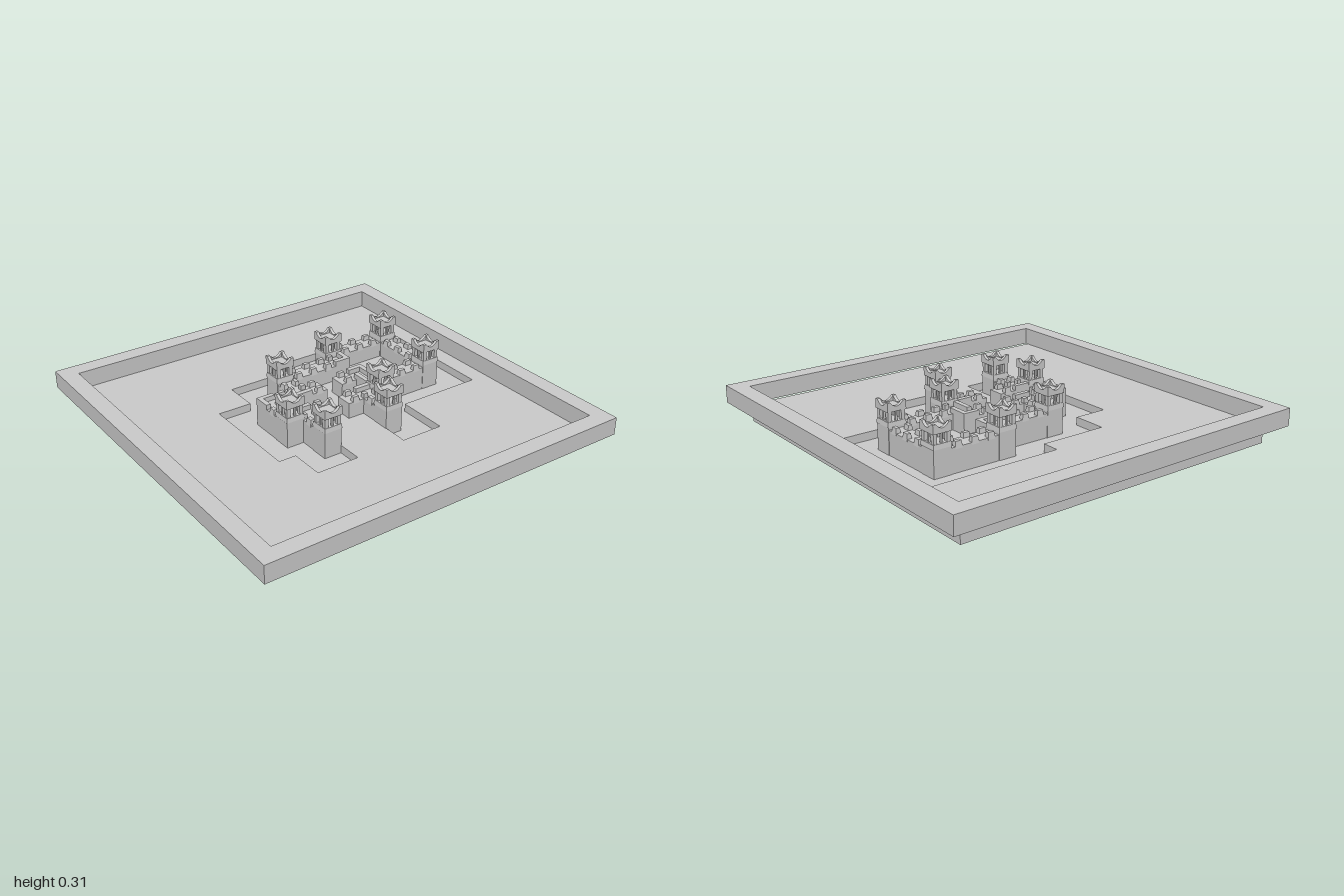
import * as THREE from 'three';

const C = 1 / 11; // plan grid cell
const PIT = 0.05, GROUND = 0.092, RIM = 0.185, WALK = 0.175, MERLON = 0.2;
const mat = new THREE.MeshStandardMaterial({ color: 0xcccccc, flatShading: true });

function add(parent, name, geometry) {
  const m = new THREE.Mesh(geometry, mat);
  m.name = name;
  parent.add(m);
  return m;
}

// box spanning y0..y1, optionally narrowed at the top by `taper`
function block(parent, name, x, z, w, d, y0, y1, taper = 0) {
  const g = new THREE.BoxGeometry(w, y1 - y0, d);
  const p = g.attributes.position;
  for (let i = 0; i < p.count; i++) {
    if (p.getY(i) > 0) {
      p.setX(i, p.getX(i) - Math.sign(p.getX(i)) * taper);
      p.setZ(i, p.getZ(i) - Math.sign(p.getZ(i)) * taper);
    }
  }
  g.computeVertexNormals();
  const m = add(parent, name, g);
  m.position.set(x, (y0 + y1) / 2, z);
  return m;
}

const toPoints = (list) => list.map(([x, z]) => new THREE.Vector2(x, -z));

// plan shape extruded upward from y0 to y1
function slab(parent, name, outline, hole, y0, y1) {
  const s = new THREE.Shape(toPoints(outline));
  s.holes.push(new THREE.Path(toPoints(hole)));
  const g = new THREE.ExtrudeGeometry(s, { depth: y1 - y0, bevelEnabled: false });
  g.rotateX(-Math.PI / 2);
  add(parent, name, g).position.y = y0;
}

// counter-clockwise seen from above, so that hole walls face inward
const rect = (x, z0, z1) => [[-x, z1], [x, z1], [x, z0], [-x, z0]];

// towers and wall runs, in grid cells
const towers = [[-1, -3], [3, -4], [7, -4], [7, 0], [3, 1], [-3, 1], [-2, 3], [2, 3]];
const runs = [
  [-1, -3, 3, -3], [3, -4, 3, -3], [3, -4, 7, -4], [7, -4, 7, 0], [3, 0, 7, 0],
  [3, -1, 3, 1], [2, -1, 3, -1], [1, 1, 3, 1], [2, 1, 2, 3],
  [-1, -3, -1, -1], [-3, -1, 0, -1], [-3, -1, -3, 1], [-3, 1, -1, 1], [-2, 1, -2, 3],
];

// moat outline: outer bank, then back beneath the walls
const moat = [
  [-1.5, 5], [-4, 5], [-4, 3], [-5, 3], [-5, -3], [-3, -3], [-3, -5], [1, -5], [1, -6],
  [9, -6], [9, 2], [4, 2], [4, 5], [1.5, 5], [1.5, 3],
  [2, 3], [2, 1], [3, 1], [3, 0], [7, 0], [7, -4], [3, -4], [3, -3], [-1, -3], [-1, -1],
  [-3, -1], [-3, 1], [-2, 1], [-2, 3], [-1.5, 3],
].map(([x, z]) => [x * C, z * C]);

// crown wall with a concave top edge, its ends mitred to meet at the corners
function crownGeometry() {
  const s = new THREE.Shape();
  s.moveTo(-0.051, 0.275);
  s.lineTo(0.051, 0.275);
  s.lineTo(0.051, 0.306);
  s.lineTo(0.035, 0.306);
  s.quadraticCurveTo(0, 0.262, -0.035, 0.306);
  s.lineTo(-0.051, 0.306);
  s.closePath();
  const g = new THREE.ExtrudeGeometry(s, { depth: 0.016, bevelEnabled: false, curveSegments: 8 });
  const p = g.attributes.position;
  for (let i = 0; i < p.count; i++) {
    if (p.getZ(i) < 0.008) p.setX(i, THREE.MathUtils.clamp(p.getX(i), -0.035, 0.035));
  }
  g.computeVertexNormals();
  return g;
}

function makeTower() {
  const t = new THREE.Group();
  t.name = 'tower';
  block(t, 'towerBody', 0, 0, 0.096, 0.096, PIT, 0.187);
  block(t, 'lanternFloor', 0, 0, 0.102, 0.102, 0.187, 0.211, 0.003);
  for (const x of [-1, 1]) for (const z of [-1, 1]) {
    block(t, 'cornerPost', x * 0.036, z * 0.036, 0.02, 0.02, 0.211, 0.26);
  }
  block(t, 'roofSlab', 0, 0, 0.102, 0.102, 0.26, 0.28);
  const crown = crownGeometry();
  for (let i = 0; i < 4; i++) {
    const side = new THREE.Group();
    side.name = 'towerSide';
    side.rotation.y = i * Math.PI / 2;
    add(side, 'crownWall', crown).position.z = 0.035;
    block(side, 'middlePost', 0, 0.039, 0.01, 0.01, 0.211, 0.26);
    t.add(side);
  }
  return t;
}

// parapets and merlons of one wall cell, chosen by which sides continue
function crest(parent, cx, cz, has) {
  const dirs = [[1, 0], [0, 1], [-1, 0], [0, -1]];
  const open = dirs.map(([dx, dz]) => has(cx + dx, cz + dz));
  const n = open.filter(Boolean).length;
  const straight = n === 1 || (n === 2 && open[0] === open[2]);
  const x = cx * C, z = cz * C, off = 0.033, thick = 0.025;
  dirs.forEach(([dx, dz], i) => {
    const j = (i + 1) % 4;
    if (straight) {
      if (open[i] || open[(i + 2) % 4]) return;
      block(parent, 'merlon', x + dx * off, z + dz * off,
        dx ? 0.028 : 0.04, dx ? 0.04 : 0.028, WALK - 0.01, MERLON, 0.004);
      return;
    }
    if (!open[i]) {
      block(parent, 'parapet', x + dx * off, z + dz * off,
        dx ? thick : C, dx ? C : thick, WALK - 0.01, MERLON);
    }
    if (open[i] && open[j]) {
      block(parent, 'cornerMerlon', x + (dx + dirs[j][0]) * off, z + (dz + dirs[j][1]) * off,
        thick, thick, WALK - 0.01, MERLON);
    }
  });
}

export function createModel() {
  const model = new THREE.Group();
  model.name = 'castleBoard';

  // base, ground with sunken moat, raised frame
  const back = -0.918, front = 0.895;
  block(model, 'base', 0, (back + front) / 2, 1.82, front - back, 0, PIT);
  slab(model, 'ground', rect(0.91, back, front), moat, PIT, GROUND);
  slab(model, 'frame', rect(1, -1, 1), rect(0.91, -0.91, 0.91), GROUND, RIM);

  const castle = new THREE.Group();
  castle.name = 'castle';
  model.add(castle);

  // walls
  const cells = new Map();
  for (const [x0, z0, x1, z1] of runs) {
    block(castle, 'wall', (x0 + x1) / 2 * C, (z0 + z1) / 2 * C,
      (x1 - x0 + 1) * C, (z1 - z0 + 1) * C, PIT, WALK);
    for (let x = x0; x <= x1; x++) for (let z = z0; z <= z1; z++) cells.set(`${x},${z}`, [x, z]);
  }

  // battlements
  const has = (x, z) => cells.has(`${x},${z}`);
  const isTower = (x, z) => towers.some(([a, b]) => a === x && b === z);
  for (const [x, z] of cells.values()) if (!isTower(x, z)) crest(castle, x, z, has);

  // towers
  const tower = makeTower();
  for (const [x, z] of towers) {
    const t = tower.clone();
    t.position.set(x * C, 0, z * C);
    castle.add(t);
  }
  return model;
}
